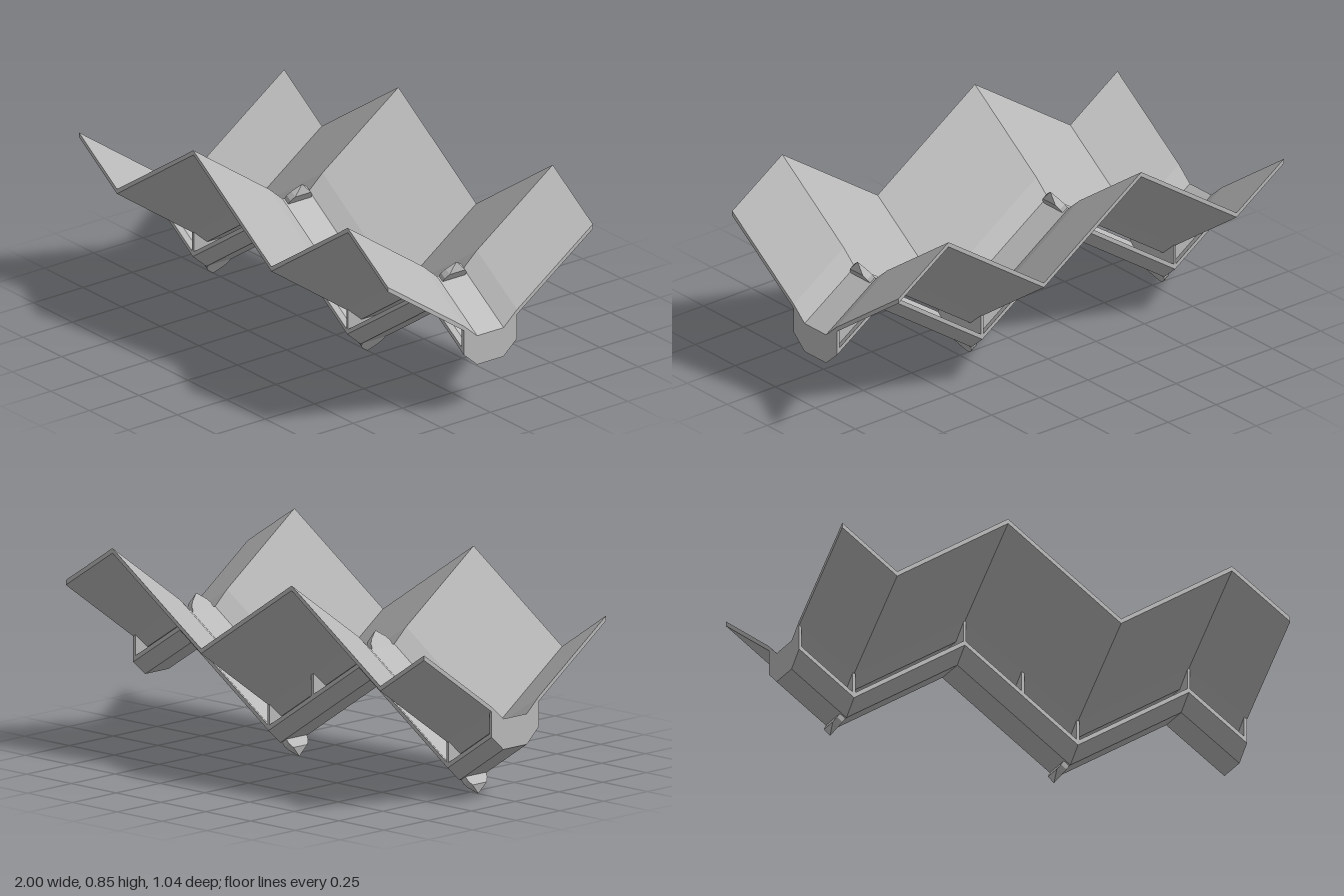
import * as THREE from 'three';
import { ConvexGeometry } from 'three/addons/geometries/ConvexGeometry.js';

// Zigzag along x: [x, rise]
const FOLD = [[-1, 0.163], [-0.755, 0], [-0.26, 0.335], [0.245, 0], [0.74, 0.335], [1, 0.165]];

function rise(x) {
  for (let i = 1; i < FOLD.length; i++) {
    const [xa, ya] = FOLD[i - 1], [xb, yb] = FOLD[i];
    if (x <= xb) return ya + (yb - ya) * (x - xa) / (xb - xa);
  }
  return FOLD[FOLD.length - 1][1];
}

// Sweep a counter-clockwise (z, y) outline from x0 to x1, following the zigzag
function sweep(outline, x0, x1) {
  const xs = [x0, ...FOLD.map(f => f[0]).filter(x => x > x0 && x < x1), x1];
  const pos = [];
  const put = (x, p) => pos.push(x, p[1] + rise(x), p[0]);
  for (let s = 1; s < xs.length; s++) {
    outline.forEach((a, i) => {
      const b = outline[(i + 1) % outline.length];
      put(xs[s - 1], a); put(xs[s], a); put(xs[s], b);
      put(xs[s - 1], a); put(xs[s], b); put(xs[s - 1], b);
    });
  }
  const caps = THREE.ShapeUtils.triangulateShape(outline.map(p => new THREE.Vector2(...p)), []);
  for (const [a, b, c] of caps) {
    [a, b, c].forEach(k => put(x0, outline[k]));
    [a, c, b].forEach(k => put(x1, outline[k]));
  }
  const g = new THREE.BufferGeometry();
  g.setAttribute('position', new THREE.Float32BufferAttribute(pos, 3));
  g.computeVertexNormals();
  return g;
}

// Mirror a half line (outermost point first) and give it vertical thickness
function sheet(half, t) {
  const line = [...half, ...half.map(([z, y]) => [-z, y]).reverse()]; // from +z to -z
  return [...line, ...line.map(([z, y]) => [z, y - t]).reverse()];
}

// Gable-ended peg, cut lower on its downhill side
function pegGeometry() {
  const t = [0.833, -0.553], n = [0.553, 0.833], w = 0.03;
  const pts = [];
  const add = (u, v, z) => pts.push(new THREE.Vector3(u * t[0] + v * n[0], u * t[1] + v * n[1], z));
  for (const s of [-1, 1]) {
    for (const u of [0, w]) {
      add(u, -0.01, 0.06 * s);
      add(u, 0.02, 0.055 * s);
      add(u, 0.04, 0.04 * s);
    }
  }
  add(0, 0.072, 0);
  return new ConvexGeometry(pts);
}

export function createModel() {
  const group = new THREE.Group();
  const grey = new THREE.MeshStandardMaterial({ color: 0xb8b8b8 });
  grey.name = 'grey';
  const add = (name, geometry) => {
    const m = new THREE.Mesh(geometry, grey);
    m.name = name;
    group.add(m);
    return m;
  };

  // Wide V-shaped upper sheet and narrow lower channel
  add('foldedWings', sweep(sheet([[0.52, 0.515], [0.135, 0.245], [0.067, 0.185]], 0.02), -1, 1));
  add('lowerChannel', sweep(sheet([[0.135, 0.14], [0.067, 0.08]], 0.02), -1, 1));

  // Thin walls joining channel and sheet at ends, middle and folds
  const web = [[-0.067, 0.07], [0.067, 0.07], [0.135, 0.13], [0.135, 0.235],
    [0.067, 0.175], [-0.067, 0.175], [-0.135, 0.235], [-0.135, 0.13]];
  for (const [x0, x1] of [[-1, -0.99], [-0.007, 0.007], [0.987, 1]]) add('crossWall', sweep(web, x0, x1));
  for (const [x] of FOLD.slice(1, -1)) add('foldWall', sweep(web, x - 0.006, x + 0.006));

  // Pegs above the ridges and, turned over, below the valleys
  const peg = pegGeometry();
  for (const x of [-0.26, 0.74]) add('ridgePeg', peg).position.set(x, 0.52, 0);
  for (const x of [-0.755, 0.245]) {
    const p = add('valleyPeg', peg);
    p.position.set(x, 0.06, 0);
    p.rotation.z = Math.PI;
  }
  return group;
}
